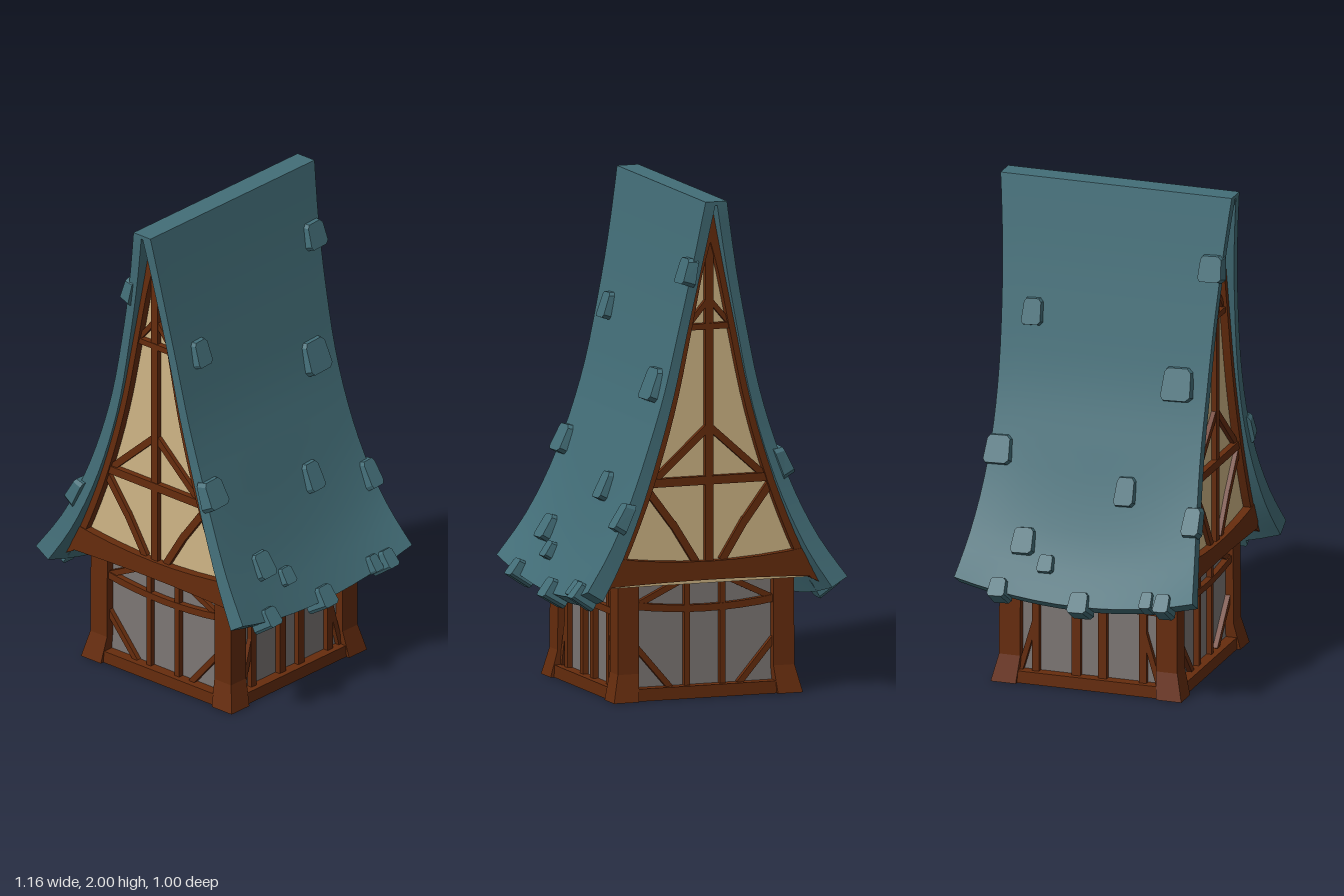
import * as THREE from 'three';
import { toCreasedNormals } from 'three/addons/utils/BufferGeometryUtils.js';

const mat = (name, color, side = THREE.FrontSide) => {
  const m = new THREE.MeshStandardMaterial({ color, side });
  m.name = name;
  return m;
};
const TEAL = mat('teal shingle', 0x436e78);
const WOOD = mat('dark timber', 0x662c0d);
const CREAM = mat('cream plaster', 0xcfb585, THREE.DoubleSide);
const GREY = mat('grey wall', 0x7c7674, THREE.DoubleSide);

const spline = (pts) => new THREE.SplineCurve(pts.map((p) => new THREE.Vector2(...p)));
// Half profiles from ridge to eave: roof top, roof underside, inner edge of the gable board
const OUTER = spline([[0.045, 2], [0.095, 1.72], [0.145, 1.48], [0.2, 1.24], [0.265, 1.03], [0.345, 0.82], [0.44, 0.63], [0.55, 0.47]]);
const INNER = spline([[0.004, 1.985], [0.055, 1.72], [0.105, 1.48], [0.158, 1.23], [0.22, 1.01], [0.297, 0.79], [0.39, 0.585], [0.485, 0.43]]);
const BOARD = spline([[0, 1.83], [0.035, 1.7], [0.08, 1.48], [0.135, 1.22], [0.195, 1.0], [0.27, 0.78], [0.36, 0.565], [0.425, 0.46]]);
const STEPS = 21;

function add(parent, name, geometry, material) {
  const mesh = new THREE.Mesh(geometry, material);
  mesh.name = name;
  parent.add(mesh);
  return mesh;
}

// Roof point: t runs from ridge to eave, f from back (-1) to front (1); the eave sags mid-span
function roofPoint(curve, t, f) {
  const y0 = OUTER.getPoint(t).y;
  const p = curve.getPoint(t);
  const half = 0.435 + (y0 > 1.1 ? 0.05 * ((y0 - 1.1) / 0.9) ** 2 : 0.065 * ((1.1 - y0) / 0.63) ** 2);
  const sag = Math.max(0, (1 - y0) / 0.53) ** 1.5 * (1 - f * f);
  return new THREE.Vector3(p.x - 0.025 * sag, p.y - 0.075 * sag, f * half);
}

// Closed cross-sections lofted along z, with end caps between top and underside
function roofGeometry() {
  const rows = 12, half = STEPS + 1, top = half * 2, loop = top * 2;
  const pos = [], idx = [];
  for (let r = 0; r <= rows; r++) {
    const f = -1 + (2 * r) / rows;
    for (const curve of [OUTER, INNER]) {
      for (let i = 0; i < top; i++) {
        const left = i < half;
        const k = left ? STEPS - i : i - half;
        const p = roofPoint(curve, k / STEPS, f);
        pos.push(left ? -p.x : p.x, p.y, p.z);
      }
    }
  }
  const quad = (a, b, c, d) => idx.push(a, b, c, a, c, d);
  for (let r = 0; r < rows; r++) {
    const a = r * loop, b = a + loop;
    for (let i = 0; i < top - 1; i++) {
      quad(a + i, b + i, b + i + 1, a + i + 1);
      quad(a + top + i, a + top + i + 1, b + top + i + 1, b + top + i);
    }
    quad(a, a + top, b + top, b);
    quad(a + top - 1, b + top - 1, b + loop - 1, a + loop - 1);
  }
  const e = rows * loop;
  for (let i = 0; i < top - 1; i++) {
    quad(e + i, e + top + i, e + top + i + 1, e + i + 1);
    quad(i, i + 1, top + i + 1, top + i);
  }
  const g = new THREE.BufferGeometry();
  g.setAttribute('position', new THREE.Float32BufferAttribute(pos, 3));
  g.setIndex(idx);
  return toCreasedNormals(g, 0.5);
}

// Straight timber between two points of a wall, its front face at z
function beam(parent, name, x1, y1, x2, y2, width, z, depth = 0.04) {
  const m = add(parent, name, new THREE.BoxGeometry(Math.hypot(x2 - x1, y2 - y1), width, depth), WOOD);
  m.position.set((x1 + x2) / 2, (y1 + y2) / 2, z - depth / 2);
  m.rotation.z = Math.atan2(y2 - y1, x2 - x1);
}

// Timber whose lower and upper edges bow towards the middle
function bowedBeam(parent, name, x, low, lowMid, high, highMid, z, depth) {
  const s = new THREE.Shape();
  s.moveTo(-x, low);
  s.quadraticCurveTo(0, 2 * lowMid - low, x, low);
  s.lineTo(x, high);
  s.quadraticCurveTo(0, 2 * highMid - high, -x, high);
  const g = new THREE.ExtrudeGeometry(s, { depth, bevelEnabled: false, curveSegments: 8 });
  add(parent, name, g, WOOD).position.z = z - depth;
}

function wallPanel(parent, y1, y2, z) {
  add(parent, 'wallPanel', new THREE.PlaneGeometry(0.68, y2 - y1), GREY).position.set(0, (y1 + y2) / 2, z);
}

// Corner post with a flared foot, standing in the +x +z corner
function postGeometry() {
  const g = new THREE.BoxGeometry(1, 2, 1, 1, 2, 1);
  const p = g.attributes.position;
  const rows = [[0, 0.295, 0.4], [0.11, 0.285, 0.374], [0.55, 0.285, 0.372]];
  for (let i = 0; i < p.count; i++) {
    const [y, inner, outer] = rows[Math.round(p.getY(i)) + 1];
    p.setXYZ(i, p.getX(i) > 0 ? outer : inner, y, p.getZ(i) > 0 ? outer : inner);
  }
  return toCreasedNormals(g, 0.1);
}

// Loose shingle: a clipped plate, narrower on its face and thickest at the lower end
function shingle(parent, z, y, w, h, sink) {
  let t = 0, f = 0;
  for (t = 0; t < 0.985; t += 0.005) {
    f = THREE.MathUtils.clamp(z / roofPoint(OUTER, t, 1).z, -1, 1);
    if (roofPoint(OUTER, t, f).y <= y) break;
  }
  const p = roofPoint(OUTER, t, f);
  const up = roofPoint(OUTER, Math.max(0, t - 0.03), f).sub(roofPoint(OUTER, Math.min(1, t + 0.03), f)).setZ(0).normalize();
  const across = new THREE.Vector3(0, 0, -1);
  const out = across.clone().cross(up);
  const a = w / 2, b = h / 2;
  const s = new THREE.Shape([[-a * 0.8, -b], [a * 0.7, -b * 0.95], [a, -b * 0.7], [a * 0.88, b * 0.75], [a * 0.6, b], [-a * 0.7, b * 0.95], [-a * 0.9, b * 0.7], [-a, -b * 0.75]].map((q) => new THREE.Vector2(...q)));
  const g = new THREE.ExtrudeGeometry(s, { depth: 1, bevelEnabled: false });
  const v = g.attributes.position;
  for (let i = 0; i < v.count; i++) {
    const face = v.getZ(i) > 0.5;
    const k = face ? 0.88 : 1;
    v.setXYZ(i, v.getX(i) * k, v.getY(i) * k, face ? 0.026 - 0.1 * v.getY(i) : -sink);
  }
  g.computeVertexNormals();
  const m = add(parent, 'looseShingle', g, TEAL);
  m.applyMatrix4(new THREE.Matrix4().makeBasis(across, up, out).setPosition(p));
}

function buildGable(parent) {
  const g = new THREE.Group();
  g.name = 'gable';
  parent.add(g);
  const side = (curve, sign) => curve.getPoints(STEPS).map((p) => new THREE.Vector2(sign * p.x, p.y));
  // Plaster, ending under the boards
  const plaster = new THREE.Shape([...side(BOARD, -1).reverse(), ...side(BOARD, 1).slice(1)]);
  add(g, 'gablePlaster', new THREE.ShapeGeometry(plaster), CREAM).position.z = 0.39;
  // Curved boards following the roof
  const boards = new THREE.Shape([...side(INNER, -1).reverse(), ...side(INNER, 1), ...side(BOARD, 1).reverse(), ...side(BOARD, -1).slice(1)]);
  add(g, 'gableBoard', new THREE.ExtrudeGeometry(boards, { depth: 0.07, bevelEnabled: false }), WOOD).position.z = 0.352;
  // Timber frame
  bowedBeam(g, 'gableSill', 0.43, 0.468, 0.478, 0.588, 0.552, 0.425, 0.09);
  beam(g, 'kingPost', 0, 0.53, 0, 1.9, 0.034, 0.412);
  beam(g, 'lowerCollar', -0.28, 0.874, 0.28, 0.874, 0.034, 0.415);
  beam(g, 'upperCollar', -0.095, 1.49, 0.095, 1.49, 0.024, 0.415);
  beam(g, 'apexCollar', -0.035, 1.835, 0.035, 1.835, 0.03, 0.415);
  for (const s of [-1, 1]) {
    beam(g, 'collarBrace', 0, 1.09, s * 0.235, 0.88, 0.028, 0.408);
    beam(g, 'apexBrace', 0, 1.6, s * 0.085, 1.5, 0.02, 0.408);
    beam(g, 'footBrace', s * 0.27, 0.86, s * 0.15, 0.7, 0.03, 0.408);
    beam(g, 'footBrace', s * 0.155, 0.71, s * 0.055, 0.55, 0.03, 0.408);
  }
}

function buildFrontWall(parent) {
  const g = new THREE.Group();
  g.name = 'frontWall';
  parent.add(g);
  wallPanel(g, 0.005, 0.54, 0.34);
  beam(g, 'sill', -0.3, 0.025, 0.3, 0.025, 0.05, 0.385, 0.045);
  bowedBeam(g, 'middleRail', 0.3, 0.365, 0.342, 0.395, 0.37, 0.365, 0.025);
  for (const s of [-1, 1]) {
    beam(g, 'stud', s * 0.075, 0.04, s * 0.075, 0.5, 0.024, 0.362, 0.022);
    beam(g, 'lowerBrace', s * 0.3, 0.225, s * 0.145, 0.045, 0.024, 0.36, 0.02);
    beam(g, 'upperBrace', s * 0.3, 0.375, s * 0.09, 0.475, 0.024, 0.36, 0.02);
  }
}

function buildSideWall(parent) {
  const g = new THREE.Group();
  g.name = 'sideWall';
  g.rotation.y = Math.PI / 2;
  parent.add(g);
  wallPanel(g, 0.005, 0.56, 0.34);
  beam(g, 'sill', -0.3, 0.025, 0.3, 0.025, 0.05, 0.385, 0.045);
  beam(g, 'middleRail', -0.3, 0.35, 0.3, 0.35, 0.028, 0.365, 0.025);
  beam(g, 'topRail', -0.3, 0.51, 0.3, 0.51, 0.05, 0.37, 0.03);
  for (const s of [-1, 1]) {
    beam(g, 'innerStud', s * 0.055, 0.04, s * 0.055, 0.5, 0.036, 0.362, 0.022);
    beam(g, 'outerStud', s * 0.225, 0.04, s * 0.225, 0.5, 0.03, 0.362, 0.022);
    beam(g, 'brace', s * 0.29, 0.05, s * 0.225, 0.27, 0.022, 0.36, 0.02);
  }
}

export function createModel() {
  const model = new THREE.Group();
  model.name = 'timberHouse';
  add(model, 'roof', roofGeometry(), TEAL);

  // Loose shingles on one slope: z, y, width, length, depth below the surface
  const shingles = [
    [-0.42, 1.72, 0.11, 0.12, 0.02], [0.31, 1.48, 0.09, 0.12, 0.02], [-0.315, 1.26, 0.14, 0.15, 0.02],
    [0.4, 0.94, 0.12, 0.13, 0.02], [-0.145, 0.83, 0.09, 0.13, 0.02], [-0.44, 0.75, 0.08, 0.13, 0.02],
    [0.25, 0.61, 0.1, 0.12, 0.02], [0.145, 0.54, 0.07, 0.08, 0.02], [0.32, 0.43, 0.08, 0.09, 0.07],
    [-0.015, 0.4, 0.09, 0.1, 0.07], [-0.3, 0.45, 0.055, 0.08, 0.06], [-0.37, 0.44, 0.07, 0.09, 0.07],
  ];
  // Each half repeats turned half way round
  for (const turn of [0, Math.PI]) {
    const half = new THREE.Group();
    half.name = turn ? 'backHalf' : 'frontHalf';
    half.rotation.y = turn;
    model.add(half);
    buildGable(half);
    buildFrontWall(half);
    buildSideWall(half);
    for (const s of shingles) shingle(half, ...s);
    for (const q of [0, Math.PI / 2]) add(half, 'cornerPost', postGeometry(), WOOD).rotation.y = q;
  }
  return model;
}
